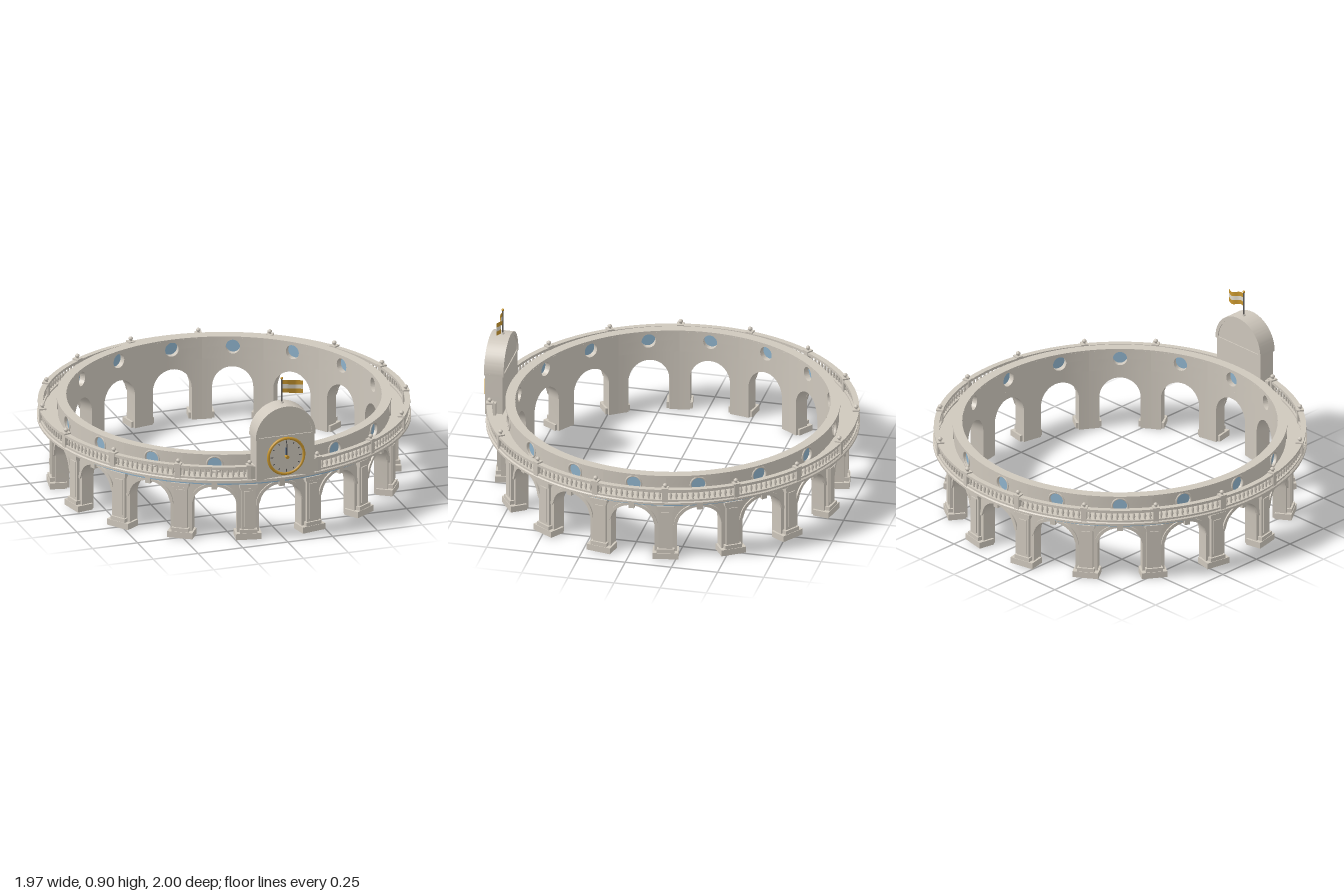
import * as THREE from 'three';
import { mergeGeometries, toCreasedNormals } from 'three/addons/utils/BufferGeometryUtils.js';

const BAYS = 16, STEP = (Math.PI * 2) / BAYS;
const mat = (name, color) => Object.assign(new THREE.MeshStandardMaterial({ color }), { name });

export function createModel() {
  const stone = mat('stone', 0xcfc8bd);
  const glass = mat('blue glass', 0x8fb3cc);
  const gold = mat('gold', 0xc8962e);
  const dark = mat('dark iron', 0x5c5a58);
  const cream = mat('cream', 0xe2dccd);
  const navy = mat('blue hand', 0x34527c);
  glass.side = THREE.DoubleSide;

  const model = new THREE.Group();
  model.name = 'arcadeRing';
  const ring = new THREE.Group();
  ring.name = 'rotunda';
  ring.position.z = -0.015;
  model.add(ring);

  const add = (parent, name, geo, material, x = 0, y = 0, z = 0) => {
    const m = new THREE.Mesh(geo, material);
    m.name = name;
    m.position.set(x, y, z);
    parent.add(m);
    return m;
  };
  const pierAngles = [], bayAngles = [];
  for (let i = 0; i < BAYS; i++) {
    bayAngles.push(i * STEP);
    pierAngles.push((i + 0.5) * STEP);
  }
  // Copies a geometry around the ring, facing outward
  const around = (name, geo, material, r, y, angles) => add(ring, name, mergeGeometries(
    angles.map((a) => geo.clone().translate(0, y, r).rotateY(a))), material);
  const box = (w, h, d) => new THREE.BoxGeometry(w, h, d);
  // Full ring turned from a profile of [radius, y]
  const turned = (name, pts, material) => add(ring, name, toCreasedNormals(
    new THREE.LatheGeometry(pts.map((p) => new THREE.Vector2(...p)), 128), 0.4), material);
  const band = (r0, r1, y0, y1) => [[r0, y0], [r1, y0], [r1, y1], [r0, y1], [r0, y0]];

  // Curved wall piece from columns of [angle, low y, high y]
  const curvedWall = (cols, rIn, rOut) => {
    const v = [];
    const p = (r, a, y) => [r * Math.sin(a), y, r * Math.cos(a)];
    const quad = (a, b, c, d) => v.push(...a, ...b, ...c, ...a, ...c, ...d);
    for (let i = 0; i + 1 < cols.length; i++) {
      const [a, l, h] = cols[i], [b, m, k] = cols[i + 1];
      if (b - a > 1e-6) {
        quad(p(rOut, a, l), p(rOut, b, m), p(rOut, b, k), p(rOut, a, h));
        quad(p(rIn, b, m), p(rIn, a, l), p(rIn, a, h), p(rIn, b, k));
      }
      quad(p(rIn, a, l), p(rIn, b, m), p(rOut, b, m), p(rOut, a, l));
      quad(p(rOut, a, h), p(rOut, b, k), p(rIn, b, k), p(rIn, a, h));
    }
    const g = new THREE.BufferGeometry();
    g.setAttribute('position', new THREE.Float32BufferAttribute(v, 3));
    return toCreasedNormals(g, 0.5);
  };

  // Arcade: piers and round arches
  const R = 0.9, half = STEP / 2, open = 0.118, spring = 0.183, rise = 0.112, N = 24;
  const arcade = [[-half, 0, 0.34], [(-half - open / R) / 2, 0, 0.34], [-open / R, 0, 0.34]];
  const archivolt = [];
  for (let i = 0; i <= N; i++) {
    const t = Math.PI * (1 - i / N), c = Math.cos(t), s = Math.sin(t);
    arcade.push([(open * c) / R, spring + rise * s, 0.34]);
  }
  arcade.push([open / R, 0, 0.34], [(half + open / R) / 2, 0, 0.34], [half, 0, 0.34]);
  around('arcadeWall', curvedWall(arcade, 0.83, 0.905), stone, 0, 0, bayAngles);
  // Raised moulding following each arch
  const wide = open + 0.017, tall = rise + 0.017;
  for (let i = 0; i <= N; i++) {
    const u = -wide * Math.cos((Math.PI * i) / N);
    const inner = Math.abs(u) < open ? rise * Math.sqrt(1 - (u / open) ** 2) : 0;
    archivolt.push([u / R, spring + inner, spring + tall * Math.sin((Math.PI * i) / N)]);
  }
  around('archMoulding', curvedWall(archivolt, 0.9, 0.914), stone, 0, 0, bayAngles);
  around('keystone', box(0.03, 0.036, 0.03), stone, 0.912, 0.303, bayAngles);

  // Pilasters on the piers
  around('plinth', box(0.137, 0.034, 0.09), stone, 0.888, 0.017, pierAngles);
  around('pilasterBase', box(0.092, 0.022, 0.04), stone, 0.91, 0.044, pierAngles);
  around('pilaster', box(0.074, 0.25, 0.03), stone, 0.905, 0.17, pierAngles);
  around('pilasterPanel', box(0.046, 0.2, 0.01), stone, 0.92, 0.17, pierAngles);
  around('capitalNeck', box(0.082, 0.01, 0.038), stone, 0.907, 0.282, pierAngles);
  around('capital', box(0.096, 0.02, 0.05), stone, 0.907, 0.3, pierAngles);

  // Cornice and walkway
  turned('cornice', [[0.86, 0.31], [0.925, 0.31], [0.925, 0.322], [0.94, 0.327], [0.952, 0.337], [0.965, 0.342],
    [0.985, 0.344], [0.985, 0.355], [0.978, 0.36], [0.86, 0.36]], stone);
  turned('blueFrieze', [[0.927, 0.311], [0.927, 0.317]], glass);

  // Drum wall pierced by round windows
  const wy = 0.406, wr = 0.039;
  const lower = [[-half, 0.34, wy], [-0.12, 0.34, wy]], upper = [[-half, wy, 0.455], [-0.12, wy, 0.455]];
  for (let i = 0; i <= N; i++) {
    const t = (Math.PI * i) / N, a = (-wr * Math.cos(t)) / 0.86, s = wr * Math.sin(t);
    lower.push([a, 0.34, wy - s]);
    upper.push([a, wy + s, 0.455]);
  }
  lower.push([0.12, 0.34, wy], [half, 0.34, wy]);
  upper.push([0.12, wy, 0.455], [half, wy, 0.455]);
  around('drumWallLower', curvedWall(lower, 0.83, 0.874), stone, 0, 0, bayAngles);
  around('drumWallUpper', curvedWall(upper, 0.83, 0.874), stone, 0, 0, bayAngles);
  around('windowGlass', new THREE.CircleGeometry(wr + 0.002, 24), glass, 0.86, wy, bayAngles);
  around('windowFrame', new THREE.TorusGeometry(wr + 0.003, 0.005, 6, 24), stone, 0.874, wy, bayAngles);
  turned('drumCap', band(0.83, 0.882, 0.452, 0.463), stone);

  // Balustrade, left open where the clock gable stands
  const rail = (name, r0, r1, y0, y1) => {
    const cols = [];
    for (let i = 0; i <= 120; i++) cols.push([half + ((Math.PI * 2 - STEP) * i) / 120, y0, y1]);
    add(ring, name, curvedWall(cols, r0, r1), stone);
  };
  rail('bottomRail', 0.953, 0.977, 0.358, 0.37);
  rail('topRail', 0.951, 0.98, 0.416, 0.43);
  const balusterAngles = [];
  for (let b = 1; b < BAYS; b++)
    for (let k = 1; k < 13; k++) balusterAngles.push((b - 0.5 + k / 13) * STEP);
  const lathe = (pts, n) => new THREE.LatheGeometry(pts.map((p) => new THREE.Vector2(...p)), n);
  around('balusters', lathe([[0.006, 0], [0.004, 0.006], [0.0085, 0.018], [0.004, 0.036], [0.006, 0.047]], 8),
    stone, 0.965, 0.37, balusterAngles);
  around('pedestal', box(0.03, 0.074, 0.032), stone, 0.965, 0.394, pierAngles);
  around('pedestalCap', box(0.037, 0.008, 0.038), stone, 0.965, 0.434, pierAngles);
  around('finial', lathe([[0.009, 0], [0.006, 0.005], [0.012, 0.012], [0.012, 0.018], [0.006, 0.024], [0, 0.026]], 12),
    stone, 0.965, 0.437, pierAngles);

  // Clock gable with a rounded top
  const gable = new THREE.Group();
  gable.name = 'clockGable';
  model.add(gable);
  const W = 0.162, Y0 = 0.35, Y1 = 0.585;
  const outline = new THREE.Shape();
  outline.moveTo(-W, Y0).lineTo(W, Y0).lineTo(W, Y1).absarc(0, Y1, W, 0, Math.PI, false).lineTo(-W, Y0);
  const extrude = (s, depth) => toCreasedNormals(
    new THREE.ExtrudeGeometry(s, { depth, bevelEnabled: false, curveSegments: 32 }), 0.4);
  add(gable, 'gableBody', extrude(outline, 0.095), stone, 0, 0, 0.867);
  const arch = new THREE.Shape();
  arch.absarc(0, Y1, W + 0.005, 0, Math.PI, false).absarc(0, Y1, W - 0.014, Math.PI, 0, true);
  add(gable, 'gableArchTrim', extrude(arch, 0.106), stone, 0, 0, 0.862);
  add(gable, 'gableLedge', box(2 * W + 0.01, 0.01, 0.106), stone, 0, Y1, 0.915);
  for (const s of [-1, 1]) add(gable, 'gableConsole', box(0.03, 0.07, 0.05), stone, s * 0.172, 0.395, 0.925);

  // Clock
  const clock = new THREE.Group();
  clock.name = 'clock';
  clock.position.set(0, 0.477, 0.962);
  gable.add(clock);
  const disc = (r, d) => new THREE.CylinderGeometry(r, r, d, 48).rotateX(Math.PI / 2);
  add(clock, 'clockFace', disc(0.1, 0.016), stone, 0, 0, 0.006);
  add(clock, 'clockRim', new THREE.TorusGeometry(0.099, 0.008, 10, 64), gold, 0, 0, 0.012);
  for (let i = 0; i < 12; i++) {
    const a = (i * Math.PI) / 6;
    add(clock, 'hourMark', box(0.004, i % 3 ? 0.01 : 0.016, 0.003), dark,
      Math.sin(a) * 0.08, Math.cos(a) * 0.08, 0.0155).rotation.z = -a;
  }
  add(clock, 'minuteHand', box(0.005, 0.075, 0.004), dark, 0, 0.034, 0.026);
  add(clock, 'hourHand', box(0.009, 0.05, 0.004), navy, 0, 0.024, 0.02);
  add(clock, 'clockHub', disc(0.009, 0.026), gold, 0, 0, 0.025);

  // Flagpole and waving striped flag
  const pole = new THREE.Group();
  pole.name = 'flagpole';
  pole.position.set(0, 0, 0.906);
  model.add(pole);
  add(pole, 'poleFoot', new THREE.CylinderGeometry(0.008, 0.012, 0.014, 16), stone, 0, 0.752, 0);
  add(pole, 'pole', new THREE.CylinderGeometry(0.0035, 0.0035, 0.14, 12), dark, 0, 0.82, 0);
  add(pole, 'poleBall', new THREE.SphereGeometry(0.007, 16, 10), gold, 0, 0.891, 0);
  const clothGold = gold.clone(), clothCream = cream;
  clothGold.name = 'gold cloth';
  clothGold.side = clothCream.side = THREE.DoubleSide;
  [clothGold, clothCream, clothGold].forEach((m, i) => {
    const h = 0.024, g = new THREE.PlaneGeometry(0.113, h, 20, 1).translate(0.0585, 0.868 - i * h, 0);
    const p = g.attributes.position;
    for (let k = 0; k < p.count; k++) {
      const t = p.getX(k) / 0.115;
      p.setY(k, p.getY(k) - 0.016 * t + 0.003 * Math.sin(t * 7));
      p.setZ(k, 0.009 * Math.sin(t * 7) * Math.min(1, t * 2));
    }
    g.computeVertexNormals();
    add(pole, 'flagStripe', g, m);
  });
  return model;
}
